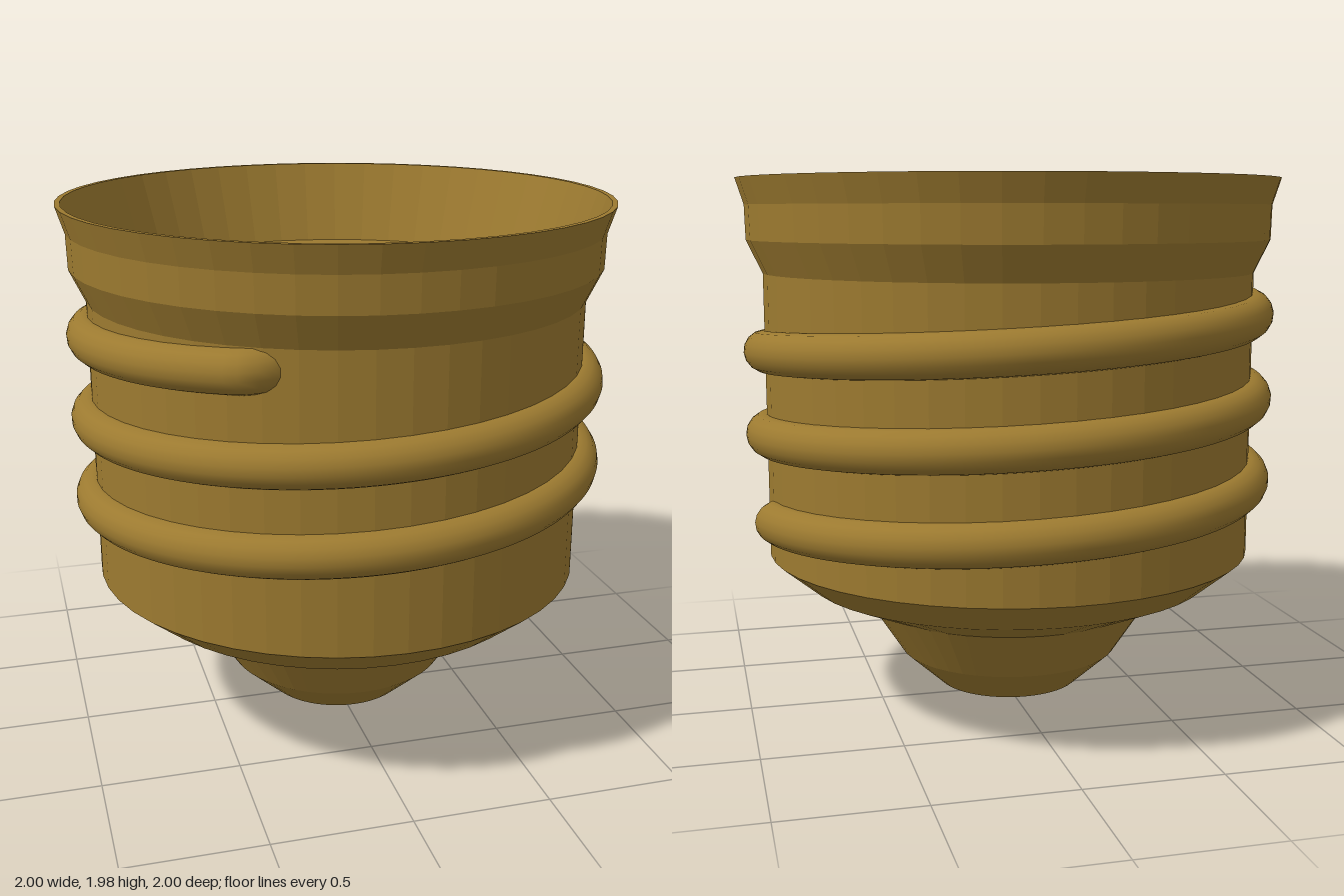
import * as THREE from 'three';

const BODY_RADIUS = 0.91;

// Rising thread path whose two ends sink into the body
class ThreadCurve extends THREE.Curve {
  getPoint(t, target = new THREE.Vector3()) {
    const start = 2, end = 963, sink = 8;
    const deg = THREE.MathUtils.lerp(start, end, t);
    const nearEnd = Math.min(deg - start, end - deg);
    const k = Math.max(0, 1 - nearEnd / sink);
    const r = BODY_RADIUS - 0.12 * k * k;
    const a = THREE.MathUtils.degToRad(deg);
    return target.set(r * Math.cos(a), 0.745 + 0.307 * deg / 360, -r * Math.sin(a));
  }
}

export function createModel() {
  const group = new THREE.Group();
  group.name = 'screwCap';
  const color = 0x9c7a30;

  // Faceted shell: rounded tip, stepped cone, barrel, flared rim, inner wall and floor
  const profile = [
    [0, 0.005], [0.08, 0.005], [0.19, 0.03], [0.27, 0.06], [0.415, 0.19],
    [0.54, 0.38], [0.77, 0.48], [BODY_RADIUS, 0.595], [BODY_RADIUS, 1.64],
    [0.967, 1.76], [0.97, 1.885], [1, 1.98], [0.98, 1.98],
    [0.88, 1.67], [0, 1.67],
  ].map(([r, y]) => new THREE.Vector2(r, y));
  const shell = new THREE.Mesh(
    new THREE.LatheGeometry(profile, 48),
    new THREE.MeshStandardMaterial({ color, flatShading: true, side: THREE.DoubleSide }),
  );
  shell.name = 'shell';
  group.add(shell);

  // Smooth raised thread
  const thread = new THREE.Mesh(
    new THREE.TubeGeometry(new ThreadCurve(), 480, 0.076, 16, false),
    new THREE.MeshStandardMaterial({ color }),
  );
  thread.name = 'thread';
  group.add(thread);

  return group;
}
